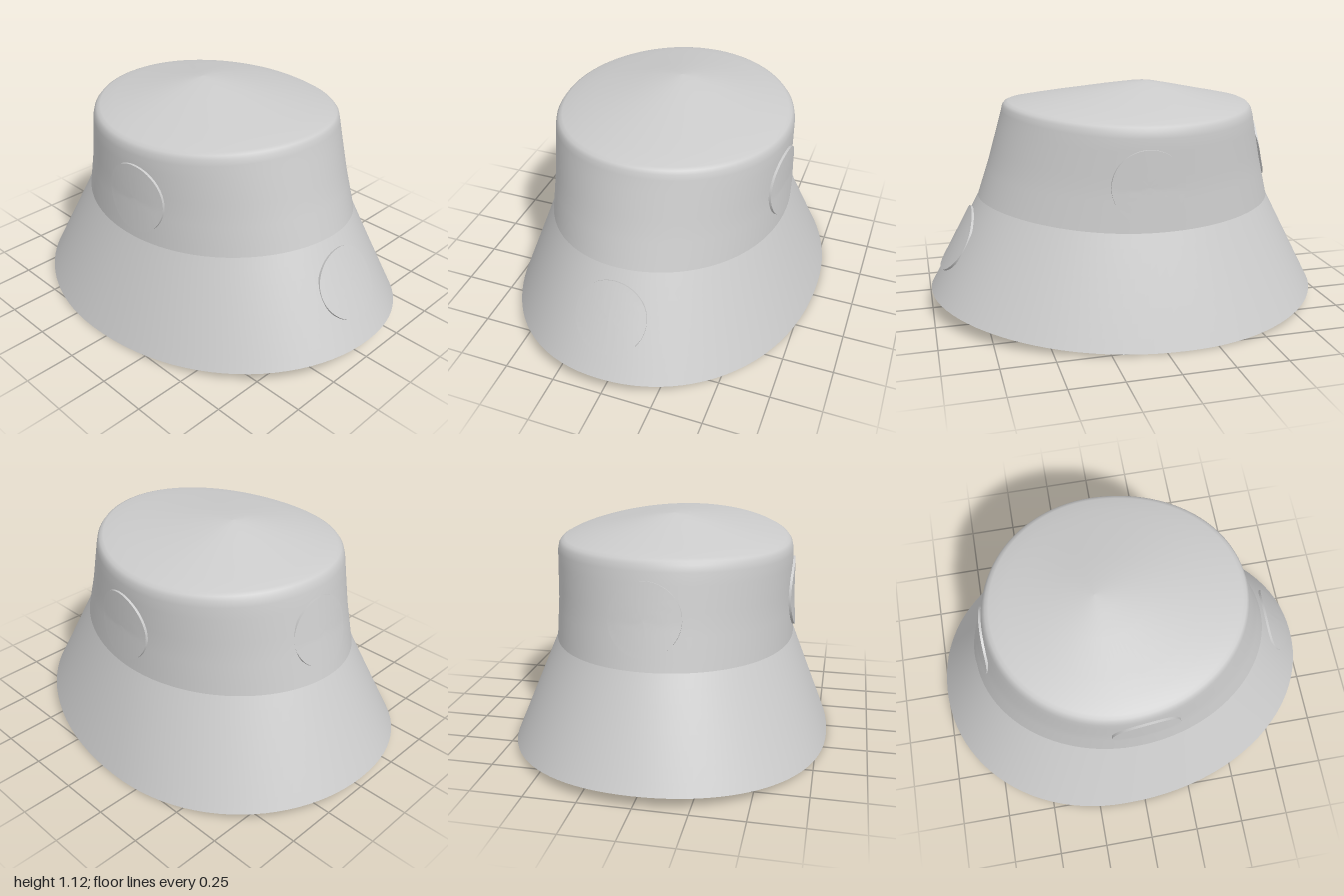
import * as THREE from 'three';

const SEG = 96;
const material = new THREE.MeshStandardMaterial({ color: 0xcccccc, side: THREE.DoubleSide });

// Skin a stack of closed rings (each an array of Vector3)
function loft(name, rings) {
  const n = rings[0].length, index = [];
  for (let i = 0; i < rings.length - 1; i++) {
    for (let j = 0; j < n; j++) {
      const a = i * n + j, b = i * n + (j + 1) % n;
      index.push(a, b, b + n, a, b + n, a + n);
    }
  }
  const geometry = new THREE.BufferGeometry().setFromPoints(rings.flat());
  geometry.setIndex(index);
  geometry.computeVertexNormals();
  const mesh = new THREE.Mesh(geometry, material);
  mesh.name = name;
  return mesh;
}

// Oval ring: half width, front z, back z, widest z, and heights at side, front and back
function oval([a, zf, zb, zc, ys, yf, yb, power = 1]) {
  return Array.from({ length: SEG }, (_, j) => {
    const t = (j / SEG) * Math.PI * 2, s = Math.sin(t), c = Math.cos(t);
    const sx = Math.sign(s) * Math.abs(s) ** power;
    const cz = Math.abs(c) ** power;
    return new THREE.Vector3(
      a * sx,
      ys + ((c > 0 ? yf : yb) - ys) * c * c,
      zc + cz * (c > 0 ? zf - zc : zb - zc));
  });
}

// Insert evenly spaced rings between two ring specifications
function between(a, b, steps) {
  return Array.from({ length: steps + 1 }, (_, i) =>
    a.map((v, k) => THREE.MathUtils.lerp(v, b[k], i / steps)));
}

// Round badge that follows the fabric on its face and is flat behind
function badge(name, target, center, normal, radius) {
  const n = new THREE.Vector3(...normal).normalize();
  const u = new THREE.Vector3(0, 1, 0).cross(n).normalize();
  const w = n.clone().cross(u);
  const caster = new THREE.Raycaster();
  const castDown = p => {
    caster.set(p.clone().addScaledVector(n, 0.3), n.clone().negate());
    const hit = caster.intersectObject(target)[0];
    return hit ? 0.3 - hit.distance : 0;
  };
  const middle = new THREE.Vector3(...center);
  middle.addScaledVector(n, castDown(middle));
  const ring = (r, depth) => Array.from({ length: 48 }, (_, j) => {
    const t = (j / 48) * Math.PI * 2;
    const p = middle.clone().addScaledVector(u, r * Math.cos(t)).addScaledVector(w, r * Math.sin(t));
    return p.addScaledVector(n, depth === undefined ? castDown(p) + 0.012 : depth);
  });
  const back = -0.02;
  const rings = [ring(0, back), ring(radius, back), ring(radius, back), ring(radius)];
  for (let k = 6; k >= 0; k--) rings.push(ring(radius * k / 6));
  return loft(name, rings);
}

export function createModel() {
  const hat = new THREE.Group();
  hat.name = 'bucketHat';

  // Flared brim, dipping at the sides
  const hem = [0.795, 1, -1, -0.1, 0.003, 0.105, 0.065, 0.96];
  const seam = [0.597, 0.745, -0.76, -0.03, 0.51, 0.575, 0.54, 1];
  const brim = loft('brim', between(hem, seam, 8).map(oval));

  // Crown wall, rounded shoulder and shallow peaked top
  const wall = [0.585, 0.685, -0.71, -0.04, 0.71, 0.75, 0.74, 1];
  const shoulder = [0.584, 0.613, -0.662, -0.05, 0.945, 0.995, 0.97, 1];
  const rim = [0.55, 0.578, -0.62, -0.05, 1.003, 1.042, 1.025, 1];
  const crown = loft('crown', [
    ...between(seam, wall, 4),
    ...between(wall, shoulder, 4).slice(1),
    [0.578, 0.607, -0.652, -0.05, 0.977, 1.021, 1.0, 1],
    [0.567, 0.596, -0.639, -0.05, 0.993, 1.035, 1.016, 1],
    rim,
    [0.48, 0.49, -0.55, -0.06, 1.024, 1.055, 1.04, 1],
    [0.4, 0.39, -0.47, -0.07, 1.046, 1.068, 1.056, 1],
    [0.2, 0.14, -0.3, -0.1, 1.094, 1.1, 1.092, 1],
    [0.08, 0, -0.19, -0.11, 1.118, 1.118, 1.115, 1],
    [0, -0.12, -0.12, -0.12, 1.125, 1.125, 1.125, 1],
  ].map(oval));
  hat.add(brim, crown);

  // Badges: one on the front of the brim, three around the crown
  hat.add(
    badge('frontBadge', brim, [0, 0.365, 0.855], [0, 0.26, 0.465], 0.175),
    badge('backBadge', crown, [0.01, 0.765, -0.71], [0, 0.22, -1], 0.17));
  for (const side of [1, -1]) {
    hat.add(badge(side > 0 ? 'leftBadge' : 'rightBadge', crown,
      [side * 0.585, 0.725, 0.03], [side, 0.02, 0.08], 0.172));
  }
  return hat;
}
